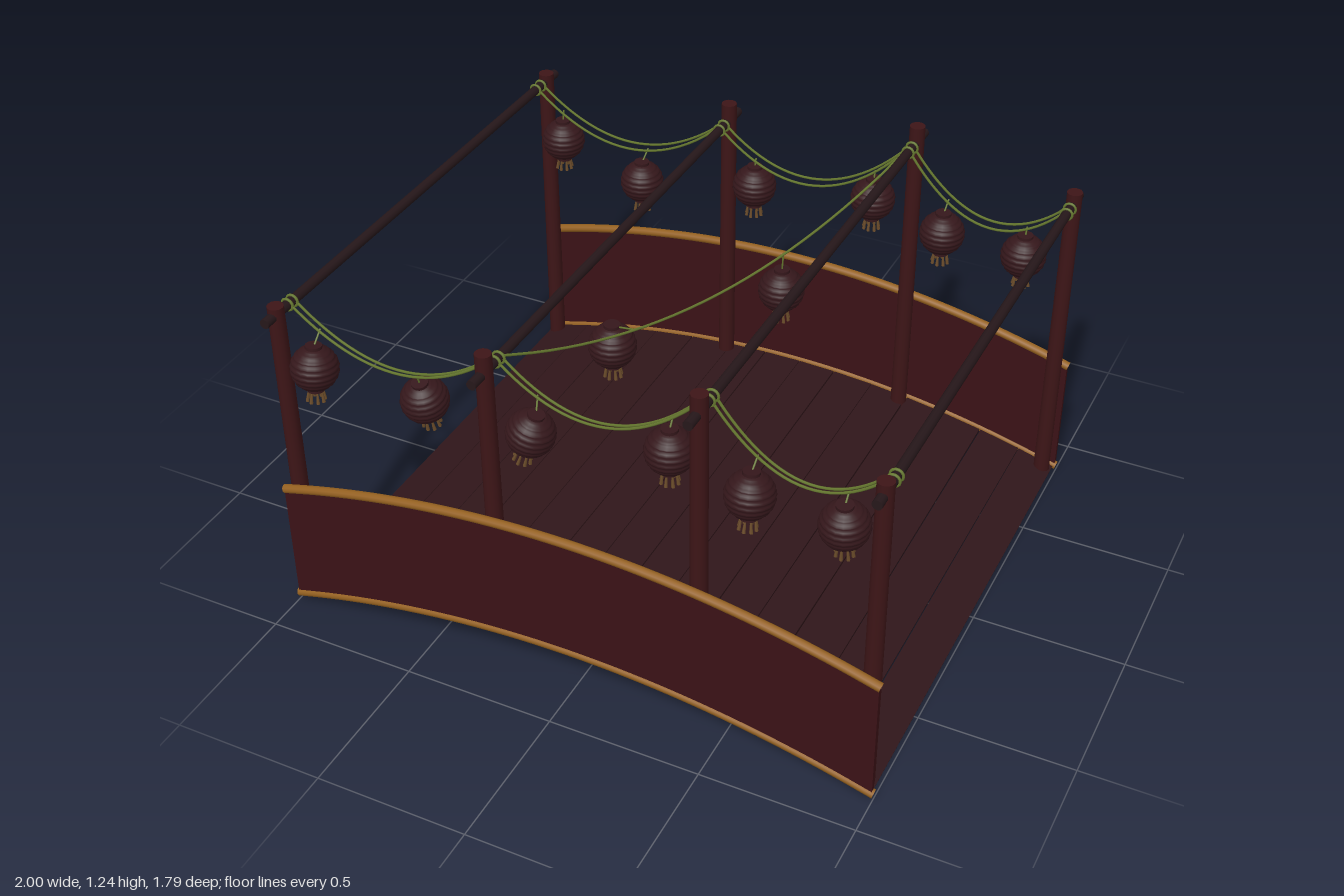
import * as THREE from 'three';

const mat = (color, side = THREE.FrontSide) => new THREE.MeshStandardMaterial({ color, side });
const V = (x, y, z) => new THREE.Vector3(x, y, z);

// Height of the arched deck along the bridge, and height of the parapets
const arch = (x) => 0.178 - 0.15 * x * x - 0.008 * x;
const WALL = 0.425;
const SIDES = [['front', 1], ['back', -1]];

// Post position, post top and crossbeam height
const POSTS = [
  { x: -0.97, top: 1.13, beam: 1.1 },
  { x: -0.26, top: 1.175, beam: 1.11 },
  { x: 0.415, top: 1.25, beam: 1.19 },
  { x: 0.957, top: 1.14, beam: 1.1 },
];
const LOWEST = [0.955, 0.982, 0.985];

// Point on a rope hanging between a and b, dipping to the height low
function ropePoint(a, b, low, t) {
  const sag = (a.y + b.y) / 2 - low;
  const p = a.clone().lerp(b, t);
  p.y -= 4 * sag * t * (1 - t);
  return p;
}

export function createModel() {
  const bridge = new THREE.Group();
  bridge.name = 'lanternBridge';
  const panelMat = mat(0x3b1216);
  const deckMat = mat(0x30161a);
  const postMat = mat(0x3d1517);
  const beamMat = mat(0x26171a);
  const trimMat = mat(0x94601f, THREE.DoubleSide);
  const ropeMat = mat(0x66782f, THREE.DoubleSide);
  const lanternMat = mat(0x35171b, THREE.DoubleSide);
  const tasselMat = mat(0x6b4c2a);

  const add = (parent, name, geometry, material) => {
    const mesh = new THREE.Mesh(geometry, material);
    mesh.name = name;
    parent.add(mesh);
    return mesh;
  };
  const tube = (parent, name, points, r, material, steps = 24, sides = 6) =>
    add(parent, name, new THREE.TubeGeometry(new THREE.CatmullRomCurve3(points), steps, r, sides), material);

  // Planked deck following the arch
  const deck = new THREE.Group();
  deck.name = 'deck';
  bridge.add(deck);
  const joints = [-0.995, -0.85, -0.7, -0.56, -0.41, -0.25, -0.115, 0.02, 0.155, 0.3, 0.435, 0.565, 0.715, 0.86, 0.99];
  for (let i = 0; i < joints.length - 1; i++) {
    const x0 = joints[i], x1 = joints[i + 1];
    const slope = Math.atan2(arch(x1) - arch(x0), x1 - x0);
    const width = (x1 - x0) / Math.cos(slope) - 0.003;
    const plank = add(deck, 'plank', new THREE.BoxGeometry(width, 0.018, 1.7), deckMat);
    plank.position.set((x0 + x1) / 2, (arch(x0) + arch(x1)) / 2 - 0.008, 0);
    plank.rotation.set(0, i % 2 ? 0.0008 : -0.0008, slope);
  }

  // Curved side panels with a rounded trim along both edges
  const outline = new THREE.Shape();
  const N = 32;
  for (let i = 0; i <= N; i++) {
    const x = -0.995 + (1.99 * i) / N;
    i ? outline.lineTo(x, arch(x)) : outline.moveTo(x, arch(x));
  }
  for (let i = N; i >= 0; i--) {
    const x = -0.995 + (1.99 * i) / N;
    outline.lineTo(x, arch(x) + WALL);
  }
  const panelGeo = new THREE.ExtrudeGeometry(outline, { depth: 0.016, bevelEnabled: false });
  for (const [label, s] of SIDES) {
    const z = s * 0.86;
    add(bridge, label + 'Panel', panelGeo, panelMat).position.z = z - 0.008;
    for (const [edge, h] of [['LowerTrim', 0], ['UpperTrim', WALL]]) {
      const points = [];
      for (let i = 0; i <= 16; i++) {
        const x = -0.998 + (1.996 * i) / 16;
        points.push(V(x, arch(x) + h, z));
      }
      tube(bridge, label + edge, points, 0.015, trimMat, 48, 10);
    }
  }

  // Posts and the crossbeams joining each pair
  for (const { x, top, beam } of POSTS) {
    const base = arch(x) - 0.025;
    for (const [label, s] of SIDES) {
      const post = add(bridge, label + 'Post', new THREE.CylinderGeometry(0.026, 0.028, top - base, 12), postMat);
      post.position.set(x, (top + base) / 2, s * 0.82);
    }
    const bar = add(bridge, 'crossbeam', new THREE.CylinderGeometry(0.016, 0.016, Math.abs(x) < 0.5 ? 1.786 : 1.76, 10), beamMat);
    bar.rotation.x = Math.PI / 2;
    bar.position.set(x, beam, 0);
  }

  // Double ropes swagged between the beams, with a loop round each beam
  const swag = (name, a, b, low) => {
    const points = [];
    for (let i = 0; i <= 12; i++) points.push(ropePoint(a, b, low, i / 12));
    tube(bridge, name, points, 0.0045, ropeMat, 28, 5);
  };
  const ropeZ = { front: [0.738, 0.763], back: [-0.742, -0.778] };
  for (const [label] of SIDES) {
    ropeZ[label].forEach((z, k) => {
      for (let i = 0; i < 3; i++) {
        const a = POSTS[i], b = POSTS[i + 1];
        swag(label + 'Rope', V(a.x, a.beam + 0.012, z), V(b.x, b.beam + 0.012, z), LOWEST[i] + k * 0.006);
      }
      for (const { x, beam } of POSTS) {
        add(bridge, 'ropeLoop', new THREE.TorusGeometry(0.019, 0.0045, 6, 14), ropeMat).position.set(x, beam, z);
      }
    });
  }
  const diagonalA = V(-0.25, 1.12, 0.74), diagonalB = V(0.41, 1.2, -0.74);
  swag('diagonalRope', diagonalA, diagonalB, 0.982);

  // Ribbed paper lantern with collars and a ring of tassels
  const profile = [];
  for (let i = 0; i <= 40; i++) {
    const a = 0.3 + ((Math.PI - 0.6) * i) / 40;
    const r = 0.073 + (i % 4 === 2 ? 0.0025 : i % 4 === 0 ? -0.0015 : 0);
    profile.push(new THREE.Vector2(r * Math.sin(a), -0.073 * Math.cos(a)));
  }
  const bodyGeo = new THREE.LatheGeometry(profile, 20);
  const collarGeo = new THREE.CylinderGeometry(0.026, 0.026, 0.012, 14);
  const tasselGeo = new THREE.CylinderGeometry(0.003, 0.006, 0.038, 5);

  function addLantern(x, y, z, anchor, tiltX = 0, tiltZ = 0) {
    const lantern = new THREE.Group();
    lantern.name = 'lantern';
    lantern.position.set(x, y, z);
    lantern.rotation.set(tiltX, 0, tiltZ);
    bridge.add(lantern);
    add(lantern, 'lanternBody', bodyGeo, lanternMat);
    for (const s of [-1, 1]) add(lantern, 'collar', collarGeo, lanternMat).position.y = s * 0.072;
    for (let i = 0; i < 8; i++) {
      const a = (i / 8) * Math.PI * 2;
      const tassel = add(lantern, 'tassel', tasselGeo, tasselMat);
      tassel.position.set(0.024 * Math.cos(a), -0.094, 0.024 * Math.sin(a));
      tassel.rotation.set(-0.15 * Math.sin(a), 0, 0.15 * Math.cos(a));
    }
    lantern.updateMatrix();
    const top = V(0, 0.07, 0).applyMatrix4(lantern.matrix);
    tube(bridge, 'hanger', [top, anchor], 0.003, ropeMat, 1, 5);
  }

  // x, height, front z, back z, front tilt about x and z
  const hung = [
    [-0.87, 0.925, 0.8, -0.75, -0.1, 0],
    [-0.54, 0.86, 0.72, -0.71, 0.25, 0],
    [-0.13, 0.925, 0.8, -0.75, 0, -0.3],
    [0.3, 0.985, 0.77, -0.75, 0, 0],
    [0.56, 0.94, 0.8, -0.715, -0.1, 0],
    [0.83, 0.907, 0.77, -0.75, 0.1, 0],
  ];
  for (const [x, y, zFront, zBack, tiltX, tiltZ] of hung) {
    const i = x < -0.26 ? 0 : x < 0.415 ? 1 : 2;
    const a = POSTS[i], b = POSTS[i + 1];
    const at = (z) => ropePoint(V(a.x, a.beam + 0.012, z), V(b.x, b.beam + 0.012, z), LOWEST[i], (x - a.x) / (b.x - a.x));
    addLantern(x, y, zFront, at(0.75), tiltX, tiltZ);
    addLantern(x, y, zBack, at(-0.76));
  }
  for (const [x, y, z] of [[-0.13, 0.915, 0.295], [0.19, 0.885, -0.255]]) {
    addLantern(x, y, z, ropePoint(diagonalA, diagonalB, 0.982, (0.74 - z) / 1.48));
  }
  return bridge;
}
